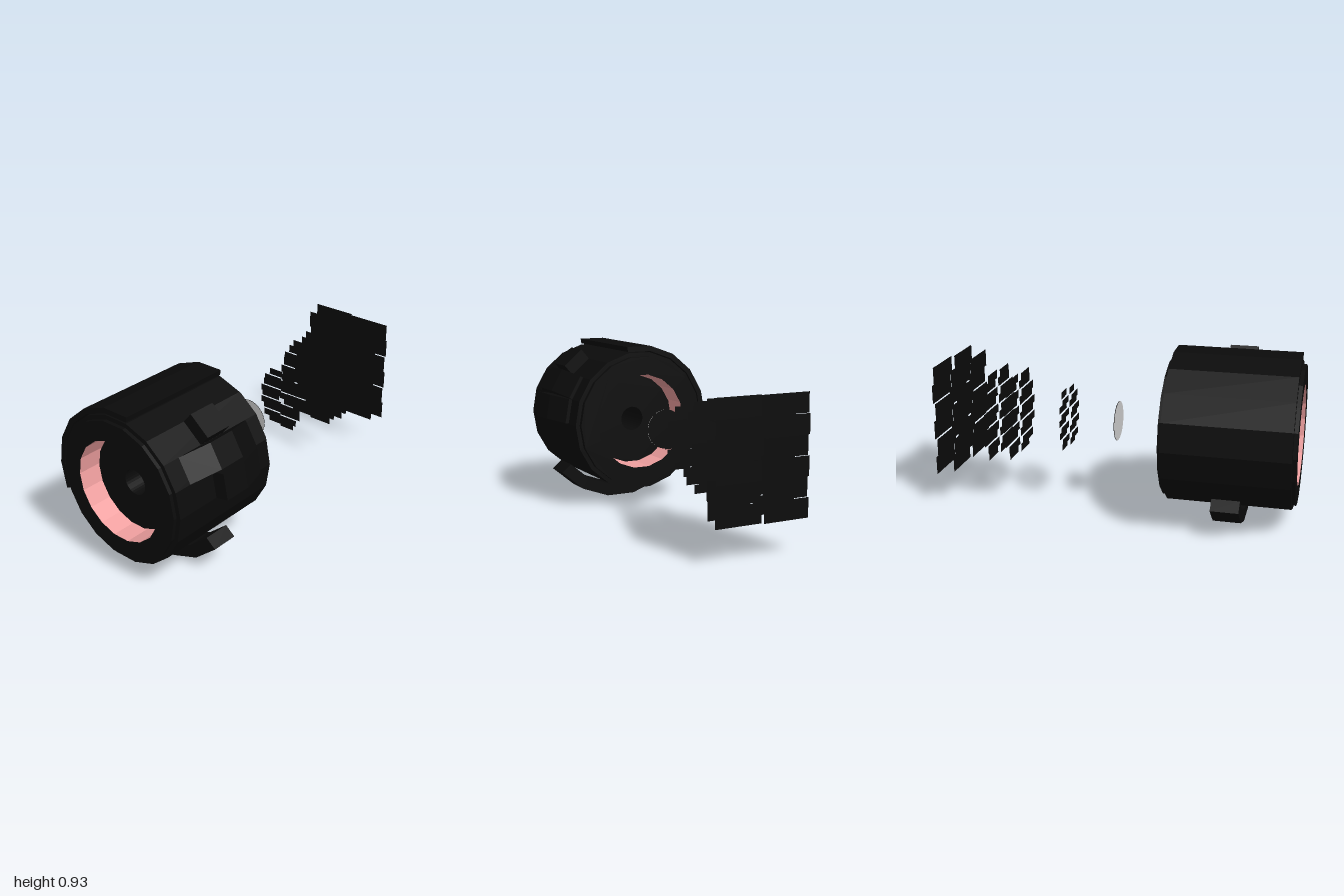
import * as THREE from 'three';

const CX = -0.02, CY = 0.495, SIDES = 18, STEP = Math.PI * 2 / SIDES;
const black = new THREE.MeshStandardMaterial({ color: 0x0b0b0b, flatShading: true, side: THREE.DoubleSide });
const pink = new THREE.MeshStandardMaterial({ color: 0xf0a0a0, flatShading: true, side: THREE.BackSide });
const grey = new THREE.MeshStandardMaterial({ color: 0xcccccc, side: THREE.DoubleSide });

function add(parent, name, geometry, material = black) {
  const mesh = new THREE.Mesh(geometry, material);
  mesh.name = name;
  parent.add(mesh);
  return mesh;
}

const polar = (r, a) => new THREE.Vector2(r * Math.cos(a), r * Math.sin(a));

function polygon(r, n = SIDES) {
  return Array.from({ length: n }, (_, i) => polar(r, i * Math.PI * 2 / n));
}

function extrude(shape, z0, z1) {
  return new THREE.ExtrudeGeometry(shape, { depth: z1 - z0, bevelEnabled: false, curveSegments: 1 }).translate(0, 0, z0);
}

// Faceted ring along z
function ring(outer, inner, z0, z1, innerSides = SIDES) {
  const shape = new THREE.Shape(polygon(outer));
  shape.holes.push(new THREE.Path(polygon(inner, innerSides).reverse()));
  return extrude(shape, z0, z1);
}

// Part of a faceted ring, from step a to step b
function sector(inner, outer, a, b, z0, z1) {
  const pts = [];
  for (let i = a; i <= b; i++) pts.push(polar(outer, i * STEP));
  for (let i = b; i >= a; i--) pts.push(polar(inner, i * STEP));
  return extrude(new THREE.Shape(pts), z0, z1);
}

// Raised block on one drum facet; its (z, height) profile may slope down at either end
function raisedBlock(backSlope, frontSlope) {
  const pts = [];
  if (backSlope) pts.push([0.41, 0], [0.41, 0.02]);
  else pts.push([0.57, 0]);
  pts.push([0.57, 0.073], [0.725, 0.073]);
  pts.push(frontSlope ? [0.88, 0] : [0.725, 0]);
  const shape = new THREE.Shape(pts.map(([z, h]) => new THREE.Vector2(-z, h)));
  const width = 0.141;
  // profile x becomes -z, profile y becomes outward x, depth becomes tangent y
  const g = new THREE.ExtrudeGeometry(shape, { depth: width, bevelEnabled: false }).translate(0, 0, -width / 2);
  g.applyMatrix4(new THREE.Matrix4().makeBasis(
    new THREE.Vector3(0, 0, -1), new THREE.Vector3(1, 0, 0), new THREE.Vector3(0, -1, 0)));
  return g.translate(0.401, 0, 0);
}

// Flat screen of staggered slats in two columns
function slatScreen({ z, halfW, halfH, rows, round, hole = 0 }) {
  const screen = new THREE.Group();
  const h = 2 * halfH / rows;
  for (let i = 0; i < rows; i++) {
    const y = -halfH + (i + 0.5) * h;
    const t = Math.abs(y) / halfH;
    const w = halfW * (round ? Math.sqrt(1 - t * t * 0.75) : 1);
    const start = Math.abs(y) < hole ? hole : 0.002;
    for (const side of [-1, 1]) {
      const slat = add(screen, 'slat', new THREE.PlaneGeometry(w - start, h));
      slat.position.set(side * (w + start) / 2, y, z + side * 0.008 + (i % 2 ? 0.006 : -0.006));
    }
  }
  return screen;
}

export function createModel() {
  const model = new THREE.Group();
  model.name = 'drumWithScreens';
  const core = new THREE.Group();
  core.name = 'core';
  core.position.set(CX, CY, 0);
  model.add(core);

  // Drum body, end lips and lining
  add(core, 'drumBody', ring(0.406, 0.3, 0.31, 0.98));
  add(core, 'frontLip', ring(0.382, 0.2765, 0.9, 1.0));
  add(core, 'backLip', ring(0.382, 0.2765, 0.285, 0.4));
  const lining = new THREE.CylinderGeometry(0.276, 0.276, 0.713, SIDES, 1, true)
    .rotateX(Math.PI / 2).rotateZ(Math.PI / 2).translate(0, 0, 0.6425);
  add(core, 'drumLining', lining, pink);

  // Inner hub with a central bore
  add(core, 'hub', ring(0.262, 0.07, 0.41, 0.88, 32));

  // Curved shell over one side
  add(core, 'sideShell', sector(0.413, 0.443, 4, 10, 0.31, 0.98));

  // Raised blocks on the other side
  [[true, false], [true, true], [false, false]].forEach(([back, front], i) => {
    const block = add(core, 'raisedBlock', raisedBlock(back, front));
    block.rotation.z = (i + 0.5) * STEP;
  });

  // Segmented foot band
  for (let i = 11; i < 16; i++) {
    const foot = add(core, 'footSegment', sector(0.43, 0.5026, 0, 1, 0.57, 0.72));
    foot.rotation.z = i * STEP;
  }

  // Small round plate behind the drum
  add(core, 'plateFront', new THREE.CircleGeometry(0.11, 32), grey).position.z = -0.008;
  add(core, 'plateBack', new THREE.CircleGeometry(0.11, 32)).position.z = -0.011;

  // Screens growing toward the back
  [
    { z: -0.295, halfW: 0.15, halfH: 0.17, rows: 9, round: true, hole: 0.025 },
    { z: -0.59, halfW: 0.23, halfH: 0.235, rows: 10, round: true },
    { z: -0.715, halfW: 0.23, halfH: 0.25, rows: 10, round: true },
    { z: -0.89, halfW: 0.245, halfH: 0.295, rows: 6 },
    { z: -0.986, halfW: 0.262, halfH: 0.312, rows: 6 },
  ].forEach((spec) => {
    const screen = slatScreen(spec);
    screen.name = 'slatScreen';
    core.add(screen);
  });
  return model;
}
